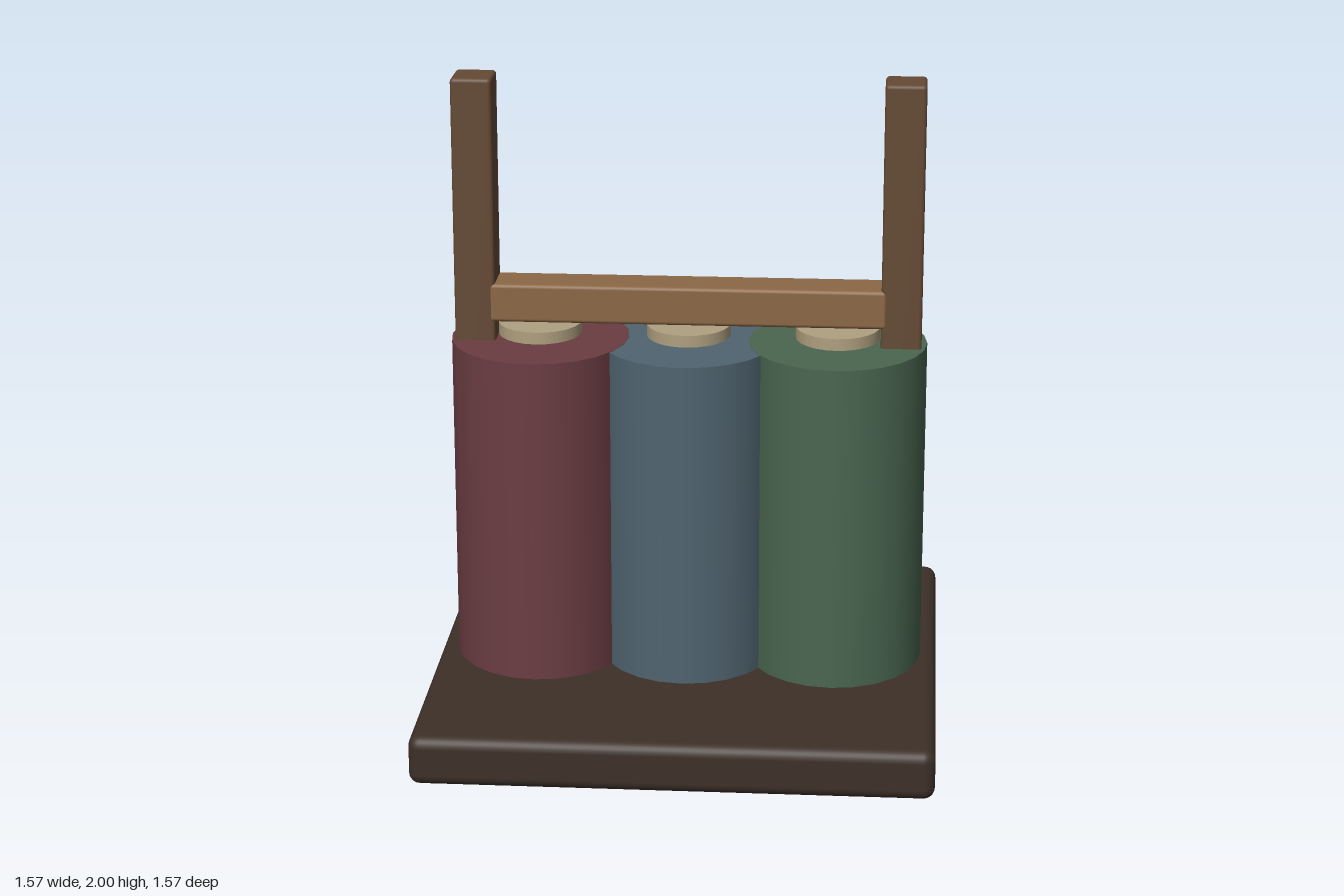
import * as THREE from 'three';
import { RoundedBoxGeometry } from 'three/addons/geometries/RoundedBoxGeometry.js';

const mat = (color) => new THREE.MeshStandardMaterial({ color });
const DEPTH_STRETCH = 0.31 / 0.275; // rolls are slightly oval, deeper than wide

export function createModel() {
  const model = new THREE.Group();
  const baseMat = mat(0x3d3028), postMat = mat(0x654a35), railMat = mat(0x8b6845);
  const capMat = mat(0xb0a080), neckMat = mat(0x9a7a55), labelMat = mat(0xb4b08f);

  const add = (name, geometry, material, x, y, z, parent = model) => {
    const mesh = new THREE.Mesh(geometry, material);
    mesh.name = name;
    mesh.position.set(x, y, z);
    parent.add(mesh);
    return mesh;
  };
  // Box given by its bottom and top heights
  const roundedBox = (name, w, y0, y1, d, r, material, x) =>
    add(name, new RoundedBoxGeometry(w, y1 - y0, d, 3, r), material, x, (y0 + y1) / 2, 0);
  // Oval upright cylinder given by its bottom and top heights
  const oval = (name, r, y0, y1, material, parent) => {
    const geometry = new THREE.CylinderGeometry(r, r, y1 - y0, 24);
    geometry.scale(1, 1, DEPTH_STRETCH);
    return add(name, geometry, material, 0, (y0 + y1) / 2, 0, parent);
  };

  // Square base slab
  roundedBox('base', 1.57, 0, 0.155, 1.57, 0.035, baseMat, 0);

  // Three standing canisters with neck, cap and a label on the back
  [0x6b3d42, 0x506470, 0x4a6650].forEach((color, i) => {
    const canister = new THREE.Group();
    canister.name = 'canister';
    canister.position.x = (i - 1) * 0.46;
    oval('canisterBody', 0.275, 0.15, 1.18 - (i === 1 ? 0.001 : 0), mat(color), canister);
    oval('canisterNeck', 0.075, 1.17, 1.2, neckMat, canister);
    oval('canisterCap', 0.13, 1.193, 1.23, capMat, canister);
    add('backLabel', new THREE.BoxGeometry(0.19, 0.1, 0.04), labelMat, 0, 0.66, -0.327, canister);
    model.add(canister);
  });

  // Side posts and the cross rail between them
  for (const side of [-1, 1]) {
    roundedBox(side > 0 ? 'leftPost' : 'rightPost', 0.125, 0.15, 2, 0.144, 0.012, postMat, side * 0.655);
  }
  roundedBox('crossRail', 1.22, 1.24, 1.36, 0.148, 0.012, railMat, 0);

  return model;
}
